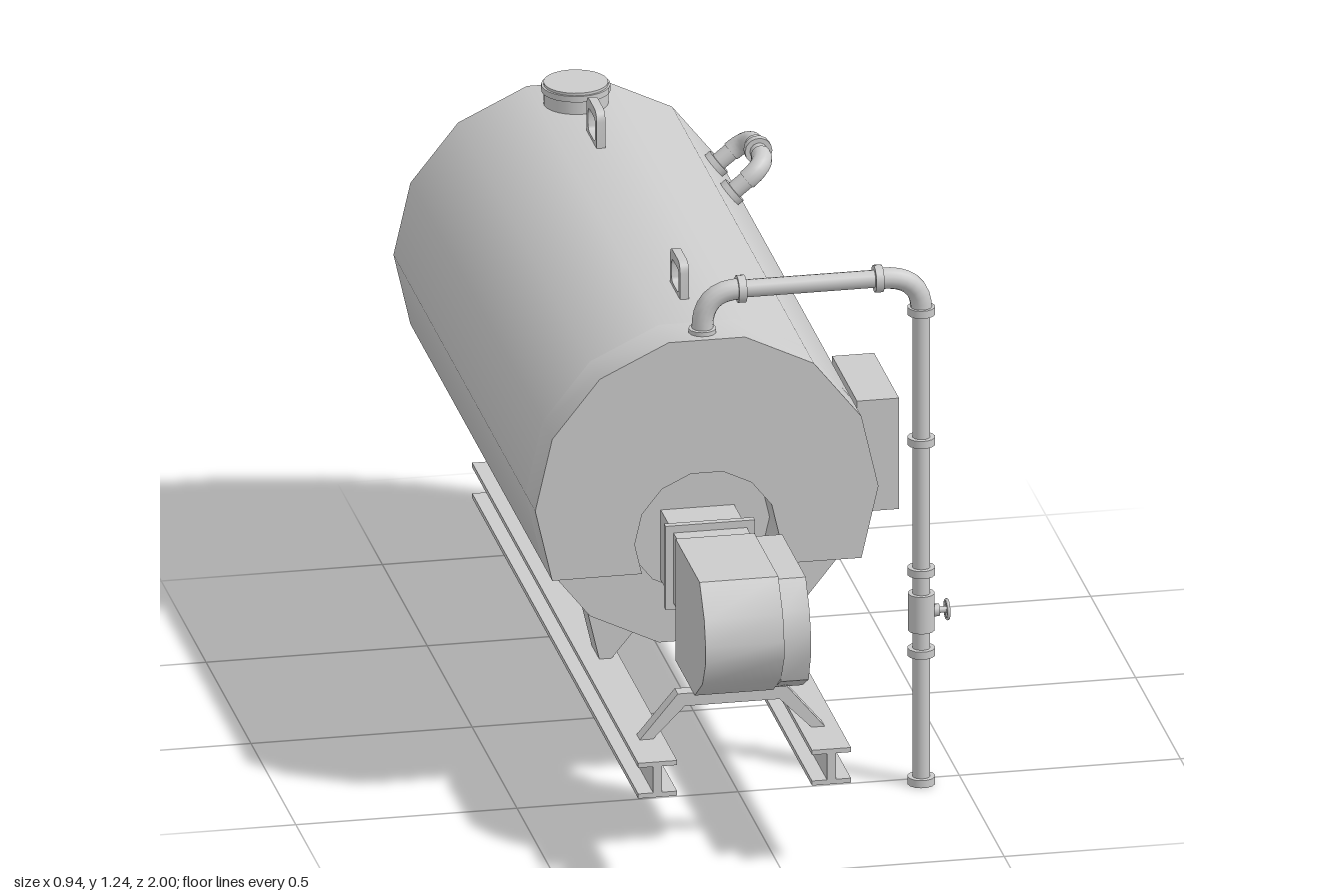
import * as THREE from 'three';
import { toCreasedNormals } from 'three/addons/utils/BufferGeometryUtils.js';

const grey = new THREE.MeshStandardMaterial({ color: 0xcccccc, side: THREE.DoubleSide });
const CX = -0.087, CY = 0.736, R = 0.388, SIDES = 14;
const V = (x, y, z) => new THREE.Vector3(x, y, z);

export function createModel() {
  const model = new THREE.Group();
  model.name = 'horizontalBoiler';

  const add = (name, geometry, parent = model) => {
    const mesh = new THREE.Mesh(geometry, grey);
    mesh.name = name;
    parent.add(mesh);
    return mesh;
  };
  const group = (name) => {
    const g = new THREE.Group();
    g.name = name;
    model.add(g);
    return g;
  };
  // box given by its two extreme corners
  const box = (name, x0, x1, y0, y1, z0, z1, parent) => add(name,
    new THREE.BoxGeometry(x1 - x0, y1 - y0, z1 - z0)
      .translate((x0 + x1) / 2, (y0 + y1) / 2, (z0 + z1) / 2), parent);
  // cylinder between two points
  const rod = (name, a, b, r, parent, sides = SIDES) => {
    const d = b.clone().sub(a);
    const mesh = add(name, new THREE.CylinderGeometry(r, r, d.length(), sides, 1, false, Math.PI / 2), parent);
    mesh.position.copy(a).add(b).multiplyScalar(0.5);
    mesh.quaternion.setFromUnitVectors(V(0, 1, 0), d.normalize());
    return mesh;
  };
  // pipe collar centred on a point
  const collar = (at, dir, r, parent, h = 0.018) =>
    rod('collar', at.clone().addScaledVector(dir, -h / 2), at.clone().addScaledVector(dir, h / 2), r, parent);
  const elbow = (a, corner, b, r, parent) =>
    add('elbow', new THREE.TubeGeometry(new THREE.QuadraticBezierCurve3(a, corner, b), 8, r, SIDES), parent);
  const shapeOf = (pts) => new THREE.Shape(pts.map(([x, y]) => new THREE.Vector2(x, y)));
  const extrude = (shape, depth) => toCreasedNormals(
    new THREE.ExtrudeGeometry(shape, { depth, bevelEnabled: false, curveSegments: 4 }), 0.55);
  // side profile drawn in (z, y), spanning x0 to x1
  const sideExtrude = (name, shape, x0, x1, parent) =>
    add(name, extrude(shape, x1 - x0).rotateY(-Math.PI / 2).translate(x1, 0, 0), parent);

  // tank shell
  add('tank', new THREE.CylinderGeometry(R, R, 1.47, SIDES, 1, false, Math.PI / 2)
    .rotateX(Math.PI / 2).translate(CX, CY, -0.265));

  // front hood: upper arch with a round opening for the burner
  const arc = (r, cy) => Array.from({ length: 10 }, (_, i) => {
    const t = (i - 1) * Math.PI * 2 / SIDES;
    return [CX + r * Math.cos(t), cy + r * Math.sin(t)];
  });
  add('frontHood', extrude(shapeOf([...arc(R, CY), ...arc(0.163, 0.639).reverse()]), 0.11).translate(0, 0, 0.47));
  add('burnerPlate', new THREE.CylinderGeometry(0.163, 0.163, 0.006, SIDES, 1, false, Math.PI / 2)
    .rotateX(Math.PI / 2).translate(CX, 0.639, 0.472));

  // burner
  const burner = group('burner');
  sideExtrude('burnerBody', shapeOf([[0.665, 0.39], [0.88, 0.39], [0.965, 0.45], [1, 0.51], [1, 0.55],
    [0.985, 0.61], [0.933, 0.68], [0.665, 0.68]]), -0.175, 0.003, burner);
  sideExtrude('fanCover', shapeOf([[0.665, 0.4], [0.89, 0.4], [0.96, 0.44], [0.985, 0.505], [0.985, 0.56],
    [0.97, 0.61], [0.928, 0.672], [0.665, 0.672]]), 0.003, 0.066, burner);
  box('burnerNeck', -0.17, -0.004, 0.508, 0.675, 0.47, 0.67, burner);
  box('burnerFlange', -0.188, 0.014, 0.493, 0.692, 0.6, 0.617, burner);

  // burner support straddling the rails
  add('burnerSupport', extrude(shapeOf([[-0.21, 0.39], [0.036, 0.39], [0.122, 0.287], [0.092, 0.287], [0.02, 0.36],
    [-0.194, 0.36], [-0.266, 0.287], [-0.296, 0.287]]), 0.035).translate(0, 0, 0.828));

  // I-beam rails and the tank feet on them, mirrored about the tank axis
  for (const s of [-1, 1]) {
    const rail = group('rail'), x = CX + s * 0.1965;
    box('railTop', x - 0.044, x + 0.044, 0.276, 0.287, -0.85, 1, rail);
    box('railWeb', x - 0.01, x + 0.01, 0.21, 0.28, -0.85, 1, rail);
    box('railBottom', x - 0.044, x + 0.044, 0.203, 0.214, -0.85, 1, rail);
    for (const z of [0.28, -0.79]) {
      const pts = [[0.232, 0.425], [0.2, 0.287], [0.172, 0.287], [0.12, 0.35], [0.12, 0.42]];
      add('foot', extrude(shapeOf(pts.map(([px, py]) => [CX + s * px, py])), 0.087).translate(0, 0, z));
    }
  }

  // lifting lugs with rounded eye
  for (const z of [0.275, -0.655]) {
    const lug = new THREE.Shape();
    lug.moveTo(z - 0.056, 1.1).lineTo(z + 0.056, 1.1).lineTo(z + 0.056, 1.175)
      .quadraticCurveTo(z + 0.056, 1.2, z + 0.031, 1.2).lineTo(z - 0.031, 1.2)
      .quadraticCurveTo(z - 0.056, 1.2, z - 0.056, 1.175);
    const eye = new THREE.Path();
    eye.moveTo(z - 0.04, 1.14).quadraticCurveTo(z - 0.04, 1.122, z - 0.022, 1.122).lineTo(z + 0.022, 1.122)
      .quadraticCurveTo(z + 0.04, 1.122, z + 0.04, 1.14).lineTo(z + 0.04, 1.16)
      .quadraticCurveTo(z + 0.04, 1.178, z + 0.022, 1.178).lineTo(z - 0.022, 1.178)
      .quadraticCurveTo(z - 0.04, 1.178, z - 0.04, 1.16);
    lug.holes.push(eye);
    sideExtrude('liftingLug', lug, CX - 0.01, CX + 0.01);
  }

  // flue outlet on top
  const flue = group('flueOutlet');
  rod('flueNeck', V(CX, 1.1, -0.88), V(CX, 1.165, -0.88), 0.072, flue, 24);
  rod('flueRim', V(CX, 1.145, -0.88), V(CX, 1.159, -0.88), 0.077, flue, 24);

  // gas pipe: riser, cross run and drop to the tank
  const pipe = group('gasPipe'), px = 0.408, pz = 0.53, py = 1.21, r = 0.02;
  const up = V(0, 1, 0), across = V(1, 0, 0);
  rod('riser', V(px, 0, pz), V(px, 1.14, pz), r, pipe);
  elbow(V(px, 1.13, pz), V(px, py, pz), V(0.32, py, pz), 0.024, pipe);
  rod('crossRun', V(-0.01, py, pz), V(0.33, py, pz), r, pipe);
  elbow(V(-0.005, py, pz), V(CX, py, pz), V(CX, 1.125, pz), 0.024, pipe);
  rod('drop', V(CX, 1.1, pz), V(CX, 1.14, pz), r, pipe);
  for (const y of [0.009, 0.315, 0.507, 0.817, 1.127]) collar(V(px, y, pz), up, 0.031, pipe);
  for (const x of [0, 0.31]) collar(V(x, py, pz), across, 0.031, pipe);
  collar(V(CX, 1.118, pz), up, 0.031, pipe, 0.012);

  // valve with hand wheel
  const valve = group('valve');
  rod('valveBody', V(px, 0.366, pz), V(px, 0.454, pz), 0.03, valve);
  rod('valveStem', V(px, 0.41, pz), V(0.468, 0.41, pz), 0.007, valve);
  rod('valveBonnet', V(px, 0.41, pz), V(0.448, 0.41, pz), 0.014, valve);
  add('handWheel', new THREE.TorusGeometry(0.021, 0.004, 6, 16).rotateY(Math.PI / 2)
    .translate(0.466, 0.41, pz), valve);
  box('wheelSpoke', 0.463, 0.469, 0.407, 0.413, pz - 0.021, pz + 0.021, valve);
  box('wheelSpoke', 0.463, 0.469, 0.389, 0.431, pz - 0.003, pz + 0.003, valve);

  // bypass loop standing off the sloped tank face
  const loop = group('bypassLoop'), a = Math.PI * 3 / SIDES;
  const out = V(Math.cos(a), Math.sin(a), 0);
  const at = (d, z) => V(CX, CY, z).addScaledVector(out, 0.378 + d);
  for (const [z, s] of [[-0.625, -1], [-0.8, 1]]) {
    rod('loopLeg', at(-0.02, z), at(0.055, z), r, loop);
    elbow(at(0.05, z), at(0.105, z), at(0.105, z + s * 0.055), 0.023, loop);
    collar(at(0.006, z), out, 0.031, loop);
  }
  rod('loopRun', at(0.105, -0.67), at(0.105, -0.755), r, loop);
  collar(at(0.105, -0.712), V(0, 0, 1), 0.031, loop);

  // control cabinet with rows of knobs
  const cabinet = group('controlCabinet');
  box('cabinetBody', 0.29, 0.385, 0.603, 0.867, 0.117, 0.395, cabinet);
  for (const y of [0.645, 0.685, 0.725])
    for (const z of [0.175, 0.218, 0.262, 0.305])
      rod('knob', V(0.38, y, z), V(0.394, y, z), 0.01, cabinet, 10);

  return model;
}
